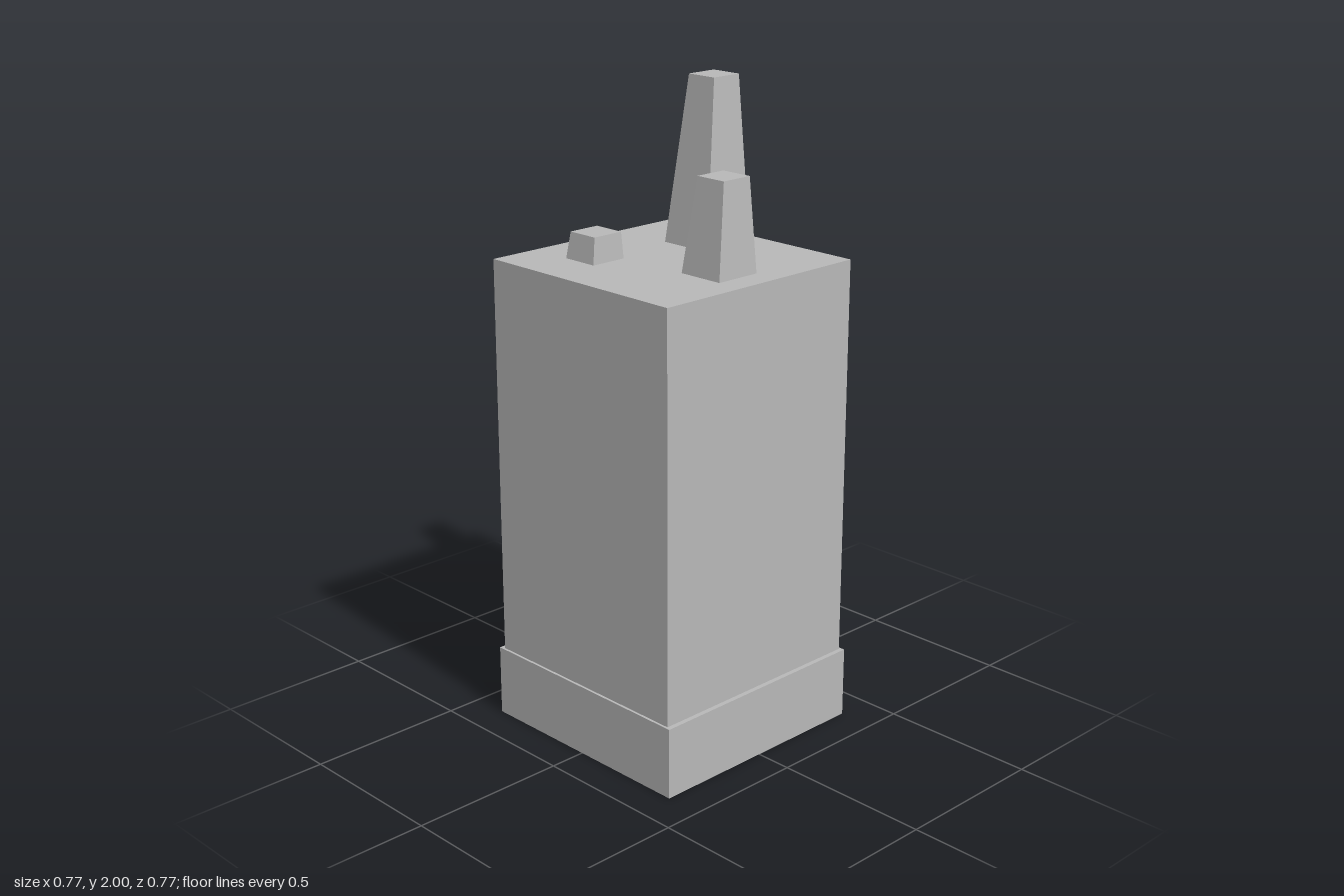
import * as THREE from 'three';

const BODY_TOP = 1.49;
const BASE_TOP = 0.225;

// Box spanning two corners
function block(name, [x0, y0, z0], [x1, y1, z1], material) {
  const mesh = new THREE.Mesh(new THREE.BoxGeometry(x1 - x0, y1 - y0, z1 - z0), material);
  mesh.position.set((x0 + x1) / 2, (y0 + y1) / 2, (z0 + z1) / 2);
  mesh.name = name;
  return mesh;
}

// Off-centre tapered chimney: bottom and top rectangles as [x0, x1, z0, z1]
function chimney(name, bottom, top, height, material) {
  const geometry = new THREE.BoxGeometry(1, 1, 1);
  const p = geometry.attributes.position;
  for (let i = 0; i < p.count; i++) {
    const up = p.getY(i) > 0;
    const r = up ? top : bottom;
    p.setXYZ(i, r[p.getX(i) > 0 ? 1 : 0], up ? height : BODY_TOP, r[p.getZ(i) > 0 ? 3 : 2]);
  }
  geometry.computeVertexNormals();
  const mesh = new THREE.Mesh(geometry, material);
  mesh.name = name;
  return mesh;
}

export function createModel() {
  const grey = new THREE.MeshStandardMaterial({ color: 0xb8b8b8 });
  grey.name = 'plain grey';

  const model = new THREE.Group();
  model.name = 'blockTower';
  model.add(
    // Plinth and tall body
    block('base', [-0.384, 0, -0.384], [0.384, BASE_TOP, 0.384], grey),
    block('body', [-0.376, BASE_TOP, -0.369], [0.376, BODY_TOP, 0.369], grey),
    // Three chimneys of different heights
    chimney('tallChimney', [0.133, 0.315, -0.167, 0.015], [0.196, 0.301, -0.129, -0.024], 2, grey),
    chimney('middleChimney', [-0.091, 0.061, 0.134, 0.286], [-0.053, 0.052, 0.158, 0.263], 1.772, grey),
    chimney('shortChimney', [-0.216, -0.096, -0.226, -0.106], [-0.203, -0.098, -0.219, -0.114], 1.57, grey),
  );
  return model;
}
